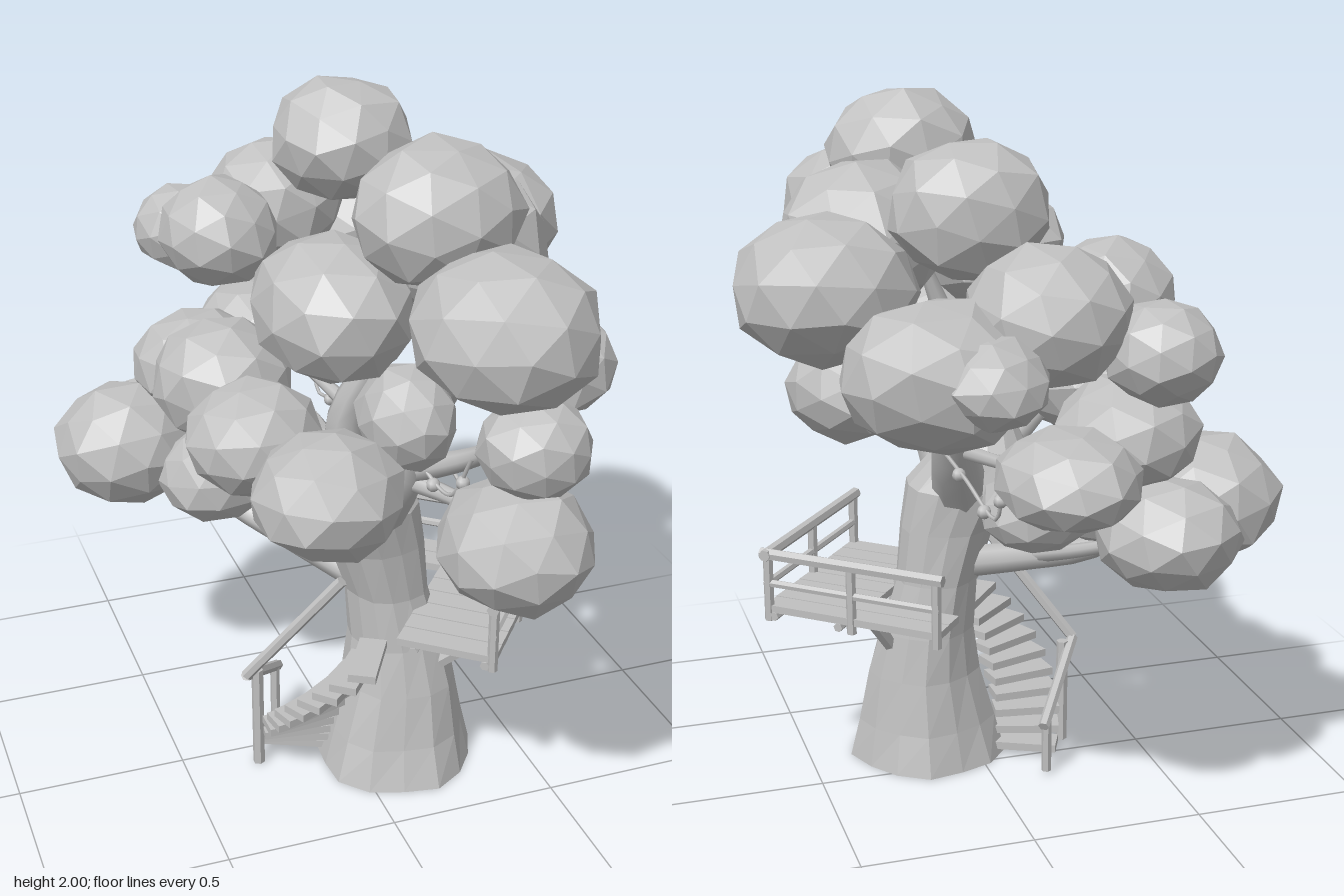
import * as THREE from 'three';

const V = (a) => new THREE.Vector3(...a);

export function createModel() {
  const tree = new THREE.Group();
  tree.name = 'treeHouse';
  const grey = new THREE.MeshStandardMaterial({ color: 0xc0c0c0 });
  grey.name = 'grey';

  let seed = 7;
  const rand = () => ((seed = (seed * 16807) % 2147483647) / 2147483647);

  const group = (name) => {
    const g = new THREE.Group();
    g.name = name;
    tree.add(g);
    return g;
  };
  const add = (parent, name, geo) => {
    const m = new THREE.Mesh(geo, grey);
    m.name = name;
    parent.add(m);
    return m;
  };
  const flat = (geo) => {
    const g = geo.index ? geo.toNonIndexed() : geo;
    g.computeVertexNormals();
    return g;
  };
  // straight pole between two points
  const pole = (parent, name, a, b, r) => {
    const p = V(a), q = V(b), d = q.clone().sub(p);
    const m = add(parent, name, flat(new THREE.CylinderGeometry(r, r, d.length(), 6)));
    m.position.copy(p).add(q).multiplyScalar(0.5);
    m.quaternion.setFromUnitVectors(new THREE.Vector3(0, 1, 0), d.normalize());
  };
  // tapering limb along a curve
  const limb = (parent, name, pts, r0, r1) => {
    const curve = new THREE.CatmullRomCurve3(pts.map(V));
    const seg = 10, sides = 8;
    const geo = new THREE.TubeGeometry(curve, seg, 1, sides, false);
    const pos = geo.attributes.position, v = new THREE.Vector3();
    for (let i = 0; i <= seg; i++) {
      const c = curve.getPointAt(i / seg), r = r0 + (r1 - r0) * (i / seg);
      for (let j = 0; j <= sides; j++) {
        const k = i * (sides + 1) + j;
        v.fromBufferAttribute(pos, k).sub(c).multiplyScalar(r).add(c);
        pos.setXYZ(k, v.x, v.y, v.z);
      }
    }
    add(parent, name, geo);
  };

  // Trunk: lumpy rings [y, cx, cz, rx, rz]
  const rings = [
    [0, 0.13, 0.16, 0.235, 0.23], [0.12, 0.135, 0.155, 0.205, 0.195], [0.28, 0.145, 0.15, 0.168, 0.167],
    [0.42, 0.138, 0.135, 0.14, 0.145], [0.58, 0.11, 0.125, 0.122, 0.13], [0.74, 0.075, 0.125, 0.142, 0.138],
    [0.87, 0.03, 0.125, 0.165, 0.16], [0.98, -0.04, 0.125, 0.13, 0.13], [1.08, -0.06, 0.12, 0.06, 0.06],
  ];
  const N = 14, tp = [], ti = [];
  rings.forEach(([y, cx, cz, rx, rz], i) => {
    for (let j = 0; j < N; j++) {
      const a = (j / N) * Math.PI * 2;
      const k = 1 + 0.045 * Math.cos(a * 5 + i * 0.5) * (1 - i / 12);
      tp.push(cx + Math.cos(a) * rx * k, y, cz + Math.sin(a) * rz * k);
      if (i) {
        const b = (j + 1) % N, lo = (i - 1) * N, hi = i * N;
        ti.push(lo + j, hi + j, lo + b, hi + j, hi + b, lo + b);
      }
    }
  });
  for (let j = 1; j < N - 1; j++) {
    ti.push(0, j, j + 1);
    const t = (rings.length - 1) * N;
    ti.push(t, t + j + 1, t + j);
  }
  const trunkGeo = new THREE.BufferGeometry();
  trunkGeo.setAttribute('position', new THREE.Float32BufferAttribute(tp, 3));
  trunkGeo.setIndex(ti);
  add(tree, 'trunk', flat(trunkGeo));

  // Branches: [start radius, end radius, points]
  const branches = group('branches');
  [
    [0.08, 0.022, [[0.04, 0.85, 0.2], [0.07, 1.0, 0.3], [0.11, 1.18, 0.36], [0.15, 1.5, 0.6]]],
    [0.04, 0.015, [[0.1, 1.05, 0.33], [0.2, 1.15, 0.5], [0.26, 1.3, 0.7]]],
    [0.03, 0.015, [[0.09, 1.02, 0.32], [0.18, 1.02, 0.5], [0.2, 1.02, 0.7]]],
    [0.085, 0.03, [[0.05, 0.85, 0.06], [0.1, 1.0, -0.06], [0.14, 1.17, -0.16], [0.22, 1.29, -0.24], [0.28, 1.4, -0.4]]],
    [0.04, 0.02, [[0.15, 1.22, -0.18], [0.22, 1.29, -0.3], [0.27, 1.31, -0.42]]],
    [0.025, 0.012, [[0.1, 1.03, -0.06], [0.06, 1.06, -0.28], [-0.01, 1.1, -0.6]]],
    [0.07, 0.015, [[-0.02, 0.95, 0.12], [-0.02, 1.15, 0.13], [0.05, 1.32, 0.16], [0.14, 1.55, 0.16]]],
    [0.05, 0.025, [[0.02, 0.62, 0.1], [-0.12, 0.68, -0.06], [-0.25, 0.74, -0.2], [-0.46, 0.9, -0.36]]],
    [0.06, 0.02, [[-0.04, 0.9, 0.14], [-0.16, 1.02, 0.13], [-0.3, 1.15, 0.14]]],
    [0.025, 0.015, [[-0.13, 0.69, -0.08], [-0.2, 0.76, -0.26], [-0.32, 0.86, -0.48]]],
  ].forEach(([r0, r1, pts]) => limb(branches, 'branch', pts, r0, r1));

  // Foliage clumps: [x, y, z, rx, ry, rz]
  const foliage = group('foliage');
  [
    [0.185, 1.605, 0.715, 0.24, 0.195, 0.26], [0.125, 1.81, 0.405, 0.225, 0.19, 0.21],
    [0.31, 1.625, 0.135, 0.24, 0.205, 0.265], [0.5, 1.555, -0.225, 0.245, 0.195, 0.275],
    [0.16, 1.775, -0.41, 0.21, 0.18, 0.205], [0.32, 1.42, -0.66, 0.24, 0.19, 0.24],
    [0.22, 1.43, -0.79, 0.14, 0.11, 0.19], [0.45, 1.385, 0.45, 0.16, 0.145, 0.205],
    [0.27, 1.28, 0.735, 0.15, 0.135, 0.15], [0.225, 1.01, 0.745, 0.205, 0.175, 0.215],
    [0.03, 1.28, 0.46, 0.13, 0.14, 0.16], [-0.115, 1.545, 0.285, 0.21, 0.19, 0.27],
    [0.02, 1.54, -0.63, 0.215, 0.18, 0.22], [-0.25, 1.45, -0.72, 0.15, 0.13, 0.16],
    [-0.22, 1.53, -0.42, 0.175, 0.16, 0.19], [0.06, 1.31, -0.12, 0.2, 0.155, 0.2],
    [-0.22, 1.135, 0.55, 0.2, 0.165, 0.2], [-0.31, 1.16, 0.2, 0.19, 0.155, 0.19],
    [-0.315, 1.21, -0.085, 0.2, 0.175, 0.2], [-0.3, 1.14, -0.38, 0.2, 0.16, 0.2],
    [-0.54, 0.925, -0.36, 0.21, 0.18, 0.205], [-0.37, 0.885, -0.51, 0.2, 0.155, 0.21],
    [-0.32, 0.88, -0.16, 0.17, 0.14, 0.16], [-0.08, 0.89, -0.25, 0.16, 0.115, 0.15],
    [-0.02, 1.125, -0.68, 0.19, 0.125, 0.22],
  ].forEach(([x, y, z, rx, ry, rz]) => {
    const geo = new THREE.IcosahedronGeometry(1, 1), pos = geo.attributes.position;
    const turn = new THREE.Euler(rand() * 6, rand() * 6, rand() * 6), v = new THREE.Vector3(), ph = rand() * 6;
    for (let i = 0; i < pos.count; i++) {
      v.fromBufferAttribute(pos, i);
      const k = 1.02 + 0.05 * Math.sin(v.x * 5 + ph) * Math.cos(v.y * 4 - v.z * 5 + ph);
      v.applyEuler(turn).multiplyScalar(k);
      pos.setXYZ(i, v.x * rx, v.y * ry, v.z * rz);
    }
    add(foliage, 'leafClump', flat(geo)).position.set(x, y, z);
  });

  // Platform: local u runs along the front rail, v along the side rail
  const platform = group('platform');
  const at = (u, y, v) => [0.635 - 0.627 * u - 0.767 * v, y, 0.11 + 0.779 * u - 0.642 * v];
  const yaw = Math.atan2(0.642, -0.767);
  for (let i = 0; i < 8; i++) {
    const u = 0.037 + i * 0.0735, len = i < 2 ? 0.56 : 0.29;
    const plank = add(platform, 'plank', new THREE.BoxGeometry(len, 0.022, 0.069));
    plank.position.set(...at(u, 0.537, len / 2));
    plank.rotation.y = yaw;
  }
  for (const v of [0.03, 0.24]) pole(platform, 'deckBeam', at(0, 0.515, v), at(0.59, 0.515, v), 0.014);
  const railing = (p, len) => {
    for (const t of [0.02, 0.5, 0.98]) pole(platform, 'railPost', p(t * len, 0.5), p(t * len, 0.71), 0.015);
    pole(platform, 'topRail', p(-0.01, 0.705), p(len + 0.01, 0.705), 0.018);
    pole(platform, 'middleRail', p(0, 0.615), p(len, 0.615), 0.012);
  };
  railing((t, y) => at(t, y, 0.01), 0.59);
  railing((t, y) => at(0.01, y, t), 0.56);
  pole(platform, 'brace', [0.23, 0.35, 0.25], [0.36, 0.52, 0.39], 0.022);
  pole(platform, 'brace', [0.24, 0.35, 0.1], [0.35, 0.52, 0.02], 0.022);

  // Winding stairs
  const stairs = group('stairs');
  for (let i = 0; i < 11; i++) {
    const a = THREE.MathUtils.degToRad(205 - i * 8.5);
    const step = add(stairs, 'step', new THREE.BoxGeometry(0.2, 0.024, 0.08));
    step.position.set(0.12 + Math.cos(a) * 0.29, 0.03 + i * 0.043, 0.13 + Math.sin(a) * 0.235);
    step.rotation.y = -a;
  }
  pole(stairs, 'handrail', [-0.14, 0.17, -0.16], [-0.32, 0.33, 0.1], 0.017);
  pole(stairs, 'handrail', [-0.32, 0.33, 0.1], [-0.07, 0.68, 0.24], 0.017);
  pole(stairs, 'stairPost', [-0.16, 0.01, -0.13], [-0.16, 0.19, -0.13], 0.015);
  pole(stairs, 'stairPost', [-0.28, 0, 0.08], [-0.28, 0.33, 0.08], 0.018);

  // Hanging strings of bulbs
  const lights = group('stringLights');
  const strand = (pts, bulbs) => {
    const wire = new THREE.CatmullRomCurve3(pts.map(V));
    add(lights, 'wire', new THREE.TubeGeometry(wire, 50, 0.006, 5));
    for (let i = 0; i < bulbs; i++) {
      const bulb = add(lights, 'bulb', new THREE.SphereGeometry(0.02, 8, 6));
      bulb.position.copy(wire.getPointAt((i + 0.5) / bulbs));
      bulb.position.y -= 0.012;
    }
  };
  strand([
    [0.24, 1.15, 0.62], [0.22, 1.0, 0.52], [0.2, 1.06, 0.35], [0.18, 1.03, 0.15], [0.18, 1.08, -0.05],
    [0.14, 1.02, -0.28], [0.1, 0.95, -0.45], [0.1, 1.1, -0.5],
  ], 9);
  strand([[0.16, 1.2, 0.6], [0.14, 1.05, 0.5], [0.1, 1.1, 0.36]], 2);
  return tree;
}
